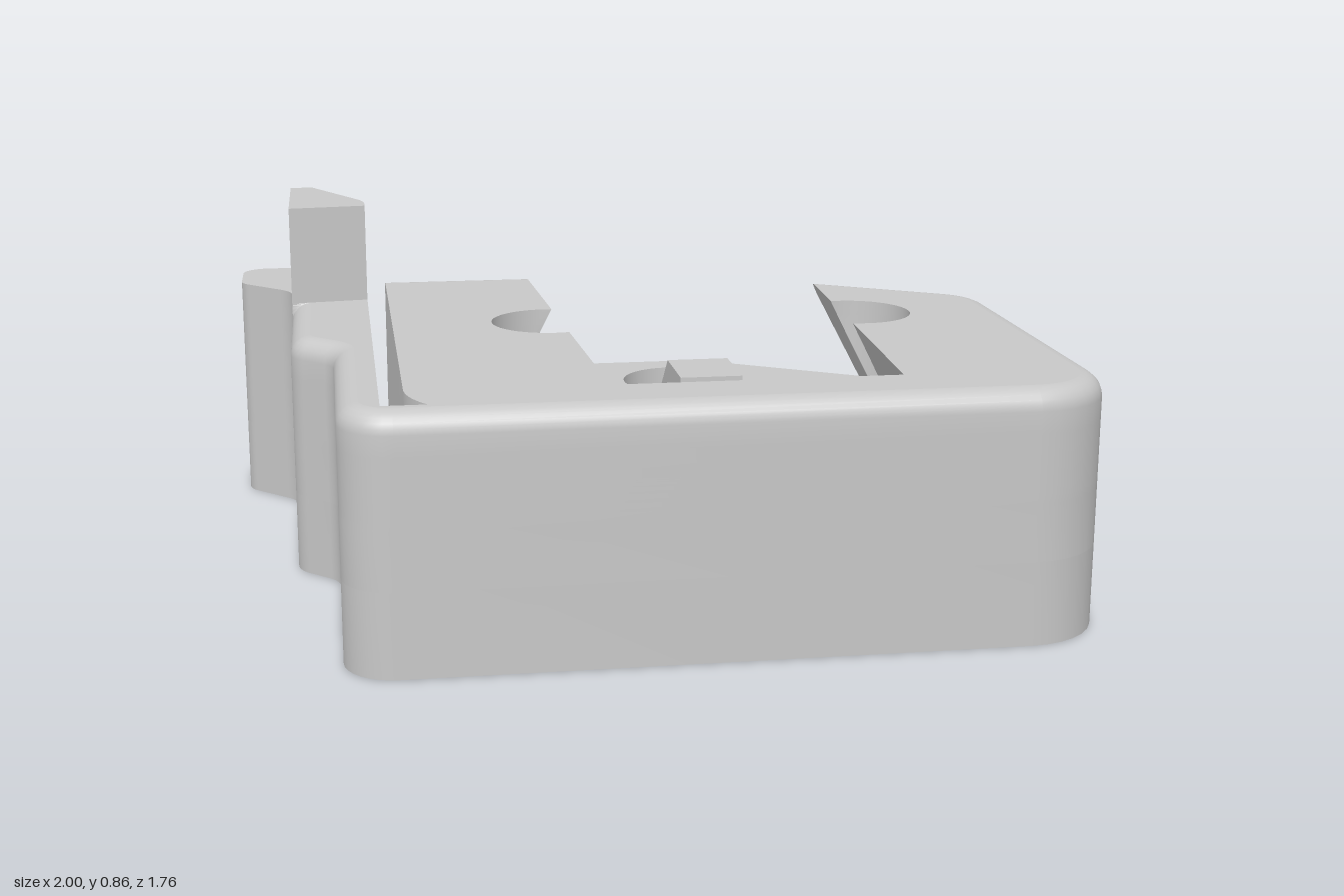
import * as THREE from 'three';
import { toCreasedNormals } from 'three/addons/utils/BufferGeometryUtils.js';

const H = 0.6, FLOOR = 0.337, BORE = 0.2, FILLET = 0.05;
const HOLES = [[0.2, -0.42], [-0.2, -0.02], [0.6, -0.02], [0.2, 0.38]];
const R_HOLE = 0.08, R_BORE = 0.148;

// Plan outline corners: x, z, rounding length, 1 = top edge is filleted
const CORNERS = [
  [1, -0.213, 0.09, 1], [1, 0.88, 0.2, 1], [-0.75, 0.88, 0.12, 1],
  [-0.75, 0.2, 0.04, 1], [-0.855, 0.1, 0.04, 1],
  [-0.855, -0.346, 0, 1], [-0.855, -0.352, 0, 0],
  [-0.855, -0.51, 0.05, 0], [-1, -0.655, 0.03, 0], [-1, -0.88, 0.07, 0],
  [-0.655, -0.88, 0, 0], [-0.655, 0.813, 0, 0], [-0.553, 0.813, 0, 0],
  [-0.6, 0.74, 0.07, 0], [-0.6, -0.65, 0, 0], [0.298, -0.65, 0.04, 0],
];

// Rounded polygon; each point is {x, z, f}
function roundedOutline(corners) {
  const pts = [];
  corners.forEach(([x, z, T, f], i) => {
    if (!T) { pts.push({ x, z, f }); return; }
    const n = corners.length, p = new THREE.Vector2(x, z);
    const toward = (c) => new THREE.Vector2(c[0] - x, c[1] - z).normalize();
    const a = toward(corners[(i + n - 1) % n]), b = toward(corners[(i + 1) % n]);
    const turn = Math.PI - Math.acos(a.dot(b));
    const k = 1 - (4 / 3) * Math.tan(turn / 4) / Math.tan(turn / 2);
    const at = (d, s) => p.clone().addScaledVector(d, T * s);
    const curve = new THREE.CubicBezierCurve(at(a, 1), at(a, k), at(b, k), at(b, 1));
    curve.getPoints(8).forEach((q) => pts.push({ x: q.x, z: q.y, f }));
  });
  return pts;
}

// Move filleted points inwards by d
function inset(pts, d) {
  const n = pts.length;
  const normal = (a, b) => new THREE.Vector2(b.z - a.z, a.x - b.x).normalize();
  return pts.map((p, i) => {
    const n1 = normal(pts[(i + n - 1) % n], p), n2 = normal(p, pts[(i + 1) % n]);
    const s = p.f * d / (1 + n1.dot(n2));
    return [p.x - s * (n1.x + n2.x), p.z - s * (n1.y + n2.y)];
  });
}

const planShape = (pts) => new THREE.Shape(pts.map(([x, z]) => new THREE.Vector2(x, -z)));

// Vertical prism from a plan, with round holes wound against the outline
function prism(pts, y0, y1, holeRadius = 0) {
  const shape = planShape(pts);
  if (holeRadius) {
    for (const [x, z] of HOLES) {
      shape.holes.push(new THREE.Path().absarc(x, -z, holeRadius, 0, Math.PI * 2, false));
    }
  }
  const g = new THREE.ExtrudeGeometry(shape, { depth: y1 - y0, bevelEnabled: false, curveSegments: 40 });
  g.rotateX(-Math.PI / 2).translate(0, y0, 0);
  return toCreasedNormals(g, 0.5);
}

// Side wall of the dovetail with its counterbore arc, from back to front
function wallArc(wall, [cx, cz], side) {
  const ends = [-1, 1].map((s) => {
    let z = cz;
    for (let i = 0; i < 12; i++) z = cz + s * Math.sqrt(R_BORE ** 2 - (wall(z) - cx) ** 2);
    return Math.atan2(z - cz, side * (wall(z) - cx));
  });
  const out = [];
  for (let i = 0; i <= 24; i++) {
    const a = THREE.MathUtils.lerp(ends[0], ends[1], i / 24);
    out.push([cx + side * R_BORE * Math.cos(a), cz + R_BORE * Math.sin(a)]);
  }
  return out;
}

// Horizontal section of the upper body at height y with fillet inset d
function upperSection(outline, y, d) {
  const t = (y - FLOOR) / (H - FLOOR), under = 0.132 * (1 - t);
  const left = (z) => -0.2 + (z + 0.65) * 0.045 - under;
  const right = (z) => 0.59 - (z + 0.45) * 0.048 + under;
  const zf = 0.432 + 0.26 * t;
  // outer edge up to the back left corner of the body
  const cut = outline.findIndex((p) => p.x === -0.6 && p.z === -0.65);
  const pts = inset(outline, d).slice(0, cut);
  const zb = -0.65 + d;
  pts.push([-0.6, zb], [left(zb), zb]);
  pts.push(...wallArc(left, HOLES[1], -1), [left(zf), zf]);
  // sloped end wall, cut by the front counterbore
  const [fx, fz] = HOLES[3];
  const A = Math.acos(Math.min(1, (zf - fz) / R_BORE));
  for (let i = 0; i <= 20; i++) {
    const a = A * (i / 10 - 1);
    pts.push([fx + R_BORE * Math.sin(a), Math.max(zf, fz + R_BORE * Math.cos(a))]);
  }
  pts.push([right(zf), zf], ...wallArc(right, HOLES[2], 1).reverse());
  // where the right wall meets the slanted back corner
  const a = -0.63 - 0.623 * 0.33 + d / 0.849, b = 0.59 - 0.048 * 0.45 + under;
  const x = (b - 0.048 * a) / (1 + 0.048 * 0.623);
  pts.push([x, a + 0.623 * x]);
  return pts;
}

// Upper body: stacked sections with a flat cap
function upperBody(outline) {
  const levels = [FLOOR, 0.36, 0.38, 0.4, 0.415, 0.425, 0.43, 0.434, 0.5, 0.55].map((y) => [y, 0]);
  for (let i = 1; i <= 6; i++) {
    const a = i * Math.PI / 12;
    levels.push([H - FILLET + FILLET * Math.sin(a), FILLET * (1 - Math.cos(a))]);
  }
  const rings = levels.map(([y, d]) => upperSection(outline, y, d));
  const n = rings[0].length, pos = [], index = [];
  rings.forEach((ring, j) => ring.forEach(([x, z], i) => {
    pos.push(x, levels[j][0], z);
    if (j === rings.length - 1) return;
    const p = j * n + i, q = j * n + (i + 1) % n;
    index.push(p, p + n, q, q, p + n, q + n);
  }));
  const side = new THREE.BufferGeometry();
  side.setAttribute('position', new THREE.Float32BufferAttribute(pos, 3));
  side.setIndex(index);
  const cap = new THREE.ShapeGeometry(planShape(rings[rings.length - 1]));
  cap.rotateX(-Math.PI / 2).translate(0, H, 0);
  return [toCreasedNormals(side, 0.5), cap];
}

export function createModel() {
  const group = new THREE.Group();
  const grey = new THREE.MeshStandardMaterial({ color: 0xc8c8c8 });
  grey.name = 'grey';
  const add = (name, geometry) => {
    const mesh = new THREE.Mesh(geometry, grey);
    mesh.name = name;
    group.add(mesh);
  };

  const outline = roundedOutline(CORNERS);
  const plan = outline.map((p) => [p.x, p.z]);

  // Base with screw holes, then counterbores up to the slot floor
  add('base', prism(plan, 0, BORE, R_HOLE));
  add('counterboreLayer', prism(plan, BORE, FLOOR, R_BORE));

  // Dovetail rails, front wall and spring arm
  const [sides, cap] = upperBody(outline);
  add('dovetailBody', sides);
  add('topFace', cap);

  // Ramped stop in the middle of the slot
  const profile = [[-0.24, FLOOR], [-0.09, 0.47], [0.113, 0.47], [0.113, FLOOR]];
  const stop = new THREE.ExtrudeGeometry(
    new THREE.Shape(profile.map(([z, y]) => new THREE.Vector2(-z, y))),
    { depth: 0.16, bevelEnabled: false });
  stop.rotateY(Math.PI / 2).translate(0.12, 0, 0);
  add('rampStop', stop);

  // Catch on the end of the spring arm
  const catchPlan = roundedOutline([
    [-0.855, -0.737, 0, 0], [-0.795, -0.737, 0, 0], [-0.655, -0.452, 0.04, 0],
    [-0.655, -0.37, 0, 0], [-0.855, -0.343, 0, 0],
  ]).map((p) => [p.x, p.z]);
  add('catch', prism(catchPlan, H, 0.855));

  return group;
}
